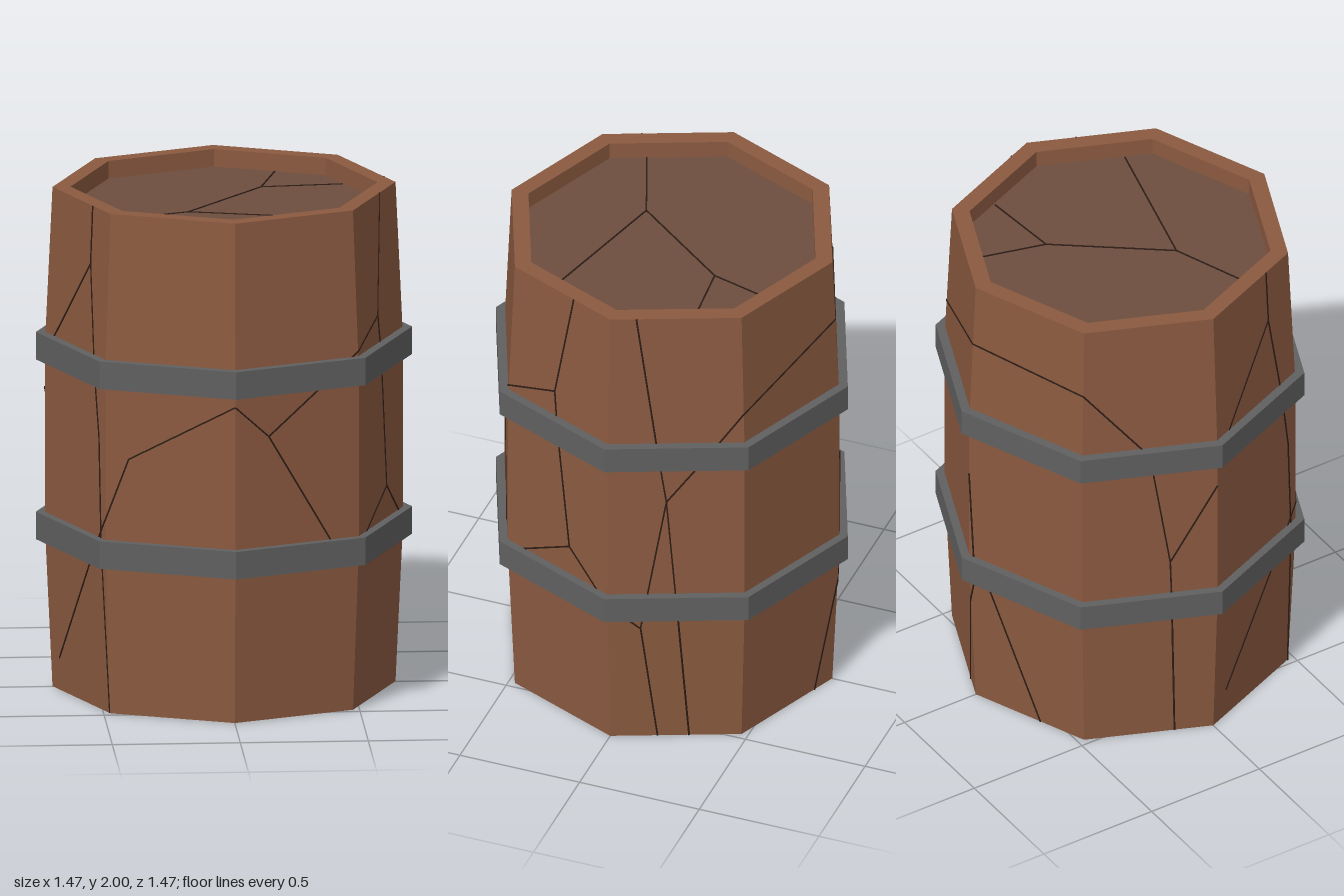
import * as THREE from 'three';
import { mergeGeometries } from 'three/addons/utils/BufferGeometryUtils.js';

const SIDES = 8, END = 0.67, BELLY = 0.7, LOW = 0.65, HIGH = 1.36;

const paint = (color) => new THREE.MeshStandardMaterial({ color, flatShading: true });

function named(name, geometry, material) {
  const mesh = new THREE.Mesh(geometry, material);
  mesh.name = name;
  return mesh;
}

// eight-sided ring or shell; profile runs [radius, height], upward on the outside
const octagon = (profile) =>
  new THREE.LatheGeometry(profile.map(([r, y]) => new THREE.Vector2(r, y)), SIDES);

// point on the barrel wall: u counts corners round from the front towards +x
function wallPoint([u, y]) {
  const r = y < LOW ? THREE.MathUtils.lerp(END, BELLY, y / LOW)
    : y > HIGH ? THREE.MathUtils.lerp(BELLY, END, (y - HIGH) / (2 - HIGH)) : BELLY;
  const corner = (k) => new THREE.Vector3(Math.sin(k * Math.PI / 4) * r, y, Math.cos(k * Math.PI / 4) * r);
  const k = Math.floor(u);
  return corner(k).lerp(corner(k + 1), u - k);
}

// hairline bar between two points
function hairline(a, b) {
  const g = new THREE.BoxGeometry(0.006, 0.006, a.distanceTo(b));
  const o = new THREE.Object3D();
  o.position.copy(a).add(b).multiplyScalar(0.5);
  o.lookAt(b);
  o.updateMatrix();
  return g.applyMatrix4(o.matrix);
}

// wall crack, split wherever it crosses a corner or a bend of the barrel
function wallCrack(points) {
  const bars = [];
  for (let i = 0; i + 1 < points.length; i++) {
    const [u0, y0] = points[i], [u1, y1] = points[i + 1];
    const cuts = [0, 1];
    for (let k = -2; k <= 8; k++) cuts.push((k - u0) / (u1 - u0));
    for (const y of [LOW, HIGH]) cuts.push((y - y0) / (y1 - y0));
    const ts = cuts.filter((t) => t >= 0 && t <= 1).sort((a, b) => a - b);
    for (let j = 0; j + 1 < ts.length; j++) {
      if (ts[j + 1] - ts[j] < 1e-4) continue;
      const at = (t) => wallPoint([u0 + (u1 - u0) * t, y0 + (y1 - y0) * t]);
      bars.push(hairline(at(ts[j]), at(ts[j + 1])));
    }
  }
  return bars;
}

export function createModel() {
  const group = new THREE.Group();
  const wood = paint(0x8b5a40), lidWood = paint(0x6e4e40);
  const iron = paint(0x606060), dark = paint(0x2e1d16);

  // staves with rims and the inner lips at both ends
  group.add(named('barrelWall', octagon([
    [0.6, 0.07], [0.6, 0], [END, 0], [BELLY, LOW], [BELLY, HIGH], [END, 2], [0.6, 2], [0.6, 1.93],
  ]), wood));

  // sunken end boards
  group.add(named('topLid', octagon([[0.6, 1.93], [0, 1.93]]), lidWood));
  group.add(named('bottomLid', octagon([[0, 0.07], [0.6, 0.07]]), lidWood));

  // iron hoops
  for (const [name, y] of [['lowerHoop', 0.59], ['upperHoop', 1.31]]) {
    group.add(named(name, octagon([
      [0.68, y], [0.735, y], [0.735, y + 0.11], [0.68, y + 0.11],
    ]), iron));
  }

  // cracks in the wall, each a line of [corner, height]
  const wallCracks = [
    [[-1.85, 0.13], [-1, 0.78], [-0.82, 1.03], [0, 1.27], [0.27, 1.14], [0.77, 0.7]],
    [[-1.85, 1.42], [-1.3, 1.77], [-1.3, 2]],
    [[-1.3, 1.77], [-1.1, 1.1], [-1.01, 0]],
    [[1.62, 2], [1.46, 1.53], [1.62, 0.83], [1.1, 0.68]],
    [[1.46, 1.53], [1, 1.44], [0.27, 1.14]],
    [[1.62, 0.83], [2.24, 0.53], [2.36, 0]],
    [[2.24, 0.53], [2.43, 1.14], [3, 1.55], [4, 1.73], [5, 1.7], [5.5, 1.38], [5.65, 0.85], [5.7, 0]],
    [[2.2, 2], [2.43, 1.14], [2.6, 0]],
    [[5.65, 0.85], [6, 1.2]],
    [[4, 1.1], [4.05, 0.6], [3.8, 0]],
    [[4.15, 0.6], [4.6, 0]],
  ];
  group.add(named('wallCracks', mergeGeometries(wallCracks.flatMap(wallCrack)), dark));

  // cracks across the end boards, each a line of [x, z]
  const lidCracks = [
    [[0.23, -0.5], [0.16, -0.24], [-0.15, 0.165], [-0.48, 0.29]],
    [[0.16, -0.24], [0.48, -0.27]],
    [[-0.15, 0.165], [0.46, 0.32]],
  ];
  for (const [name, y] of [['topLidCracks', 1.93], ['bottomLidCracks', 0.07]]) {
    const bars = lidCracks.flatMap((line) => line.slice(1).map(([x, z], i) =>
      hairline(new THREE.Vector3(line[i][0], y, line[i][1]), new THREE.Vector3(x, y, z))));
    group.add(named(name, mergeGeometries(bars), dark));
  }

  return group;
}
